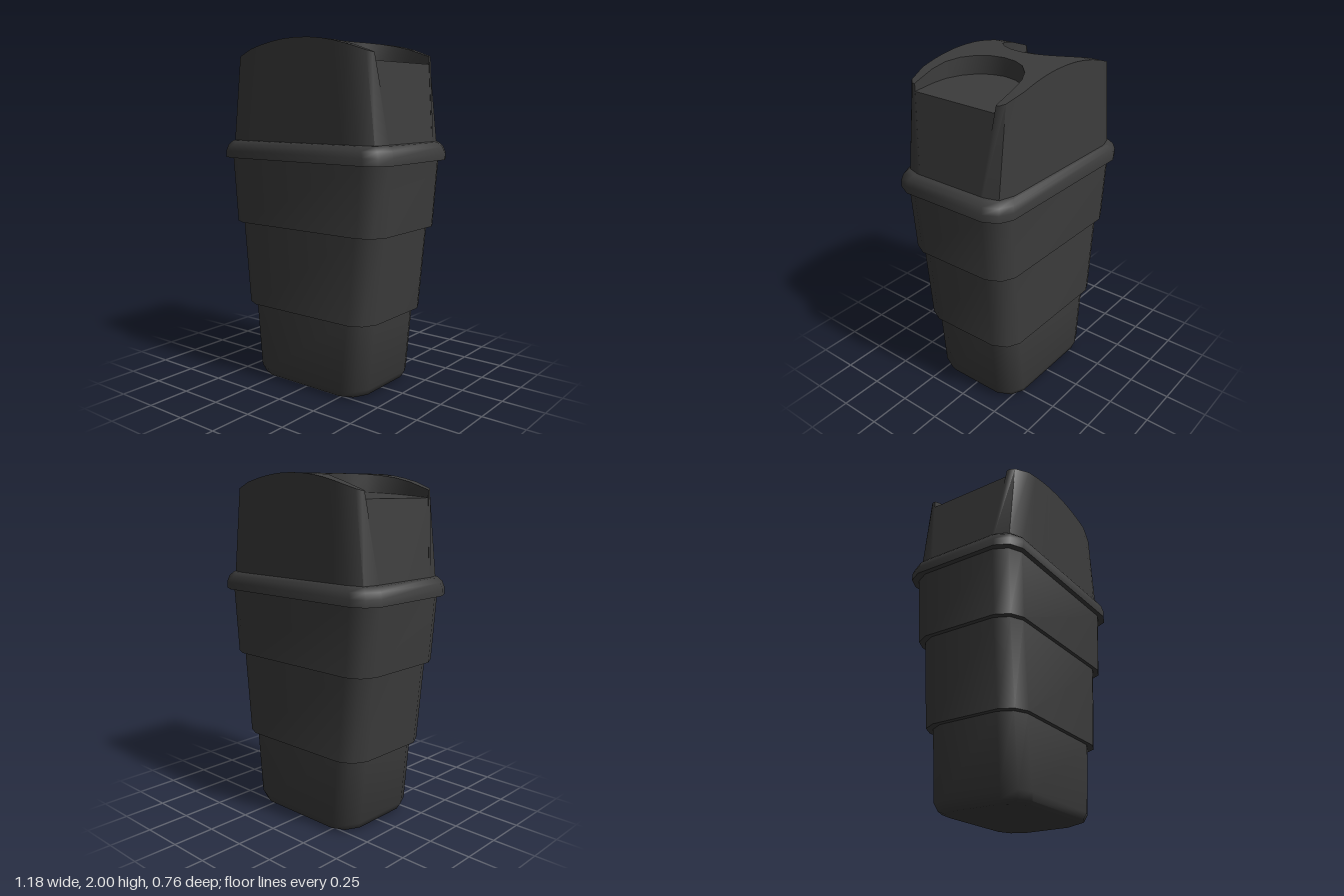
import * as THREE from 'three';
import { toCreasedNormals } from 'three/addons/utils/BufferGeometryUtils.js';

const material = new THREE.MeshStandardMaterial({ color: 0x3c3c3c, side: THREE.DoubleSide });
const V = (x, y, z) => new THREE.Vector3(x, y, z);

// Adds quads between neighbouring rows of points, leaving out empty triangles
function addStrips(out, rows, closed = false) {
  for (let r = 0; r < rows.length - 1; r++) {
    const low = rows[r], high = rows[r + 1], n = low.length;
    for (let i = 0; i < (closed ? n : n - 1); i++) {
      const j = (i + 1) % n;
      for (const tri of [[low[i], low[j], high[j]], [low[i], high[j], high[i]]]) {
        if (new THREE.Triangle(...tri).getArea() > 1e-7) out.push(...tri);
      }
    }
  }
}

function makeMesh(name, points) {
  const geometry = new THREE.BufferGeometry().setFromPoints(points);
  const mesh = new THREE.Mesh(toCreasedNormals(geometry, 0.8), material);
  mesh.name = name;
  return mesh;
}

// Rectangle with faceted corners, at height y
function ring(hx, hz, y) {
  const c = Math.min(0.115, hx, hz);
  const corner = [[hx - c, hz], [hx - 0.35 * c, hz - 0.31 * c], [hx, hz - c]];
  const back = [...corner].reverse();
  return [
    ...corner.map(([x, z]) => V(x, y, z)),
    ...back.map(([x, z]) => V(x, y, -z)),
    ...corner.map(([x, z]) => V(-x, y, -z)),
    ...back.map(([x, z]) => V(-x, y, z)),
  ];
}

function tier(name, profile) {
  const points = [];
  addStrips(points, profile.map((p) => ring(...p)), true);
  return makeMesh(name, points);
}

// Repeats the rows of one quarter in all four quarters, keeping faces outward
function quarters(name, rows) {
  const points = [];
  for (const sx of [1, -1]) {
    for (const sz of [1, -1]) {
      const mirrored = rows.map((row) => row.map((p) => V(p.x * sx, p.y, p.z * sz)));
      addStrips(points, sx * sz > 0 ? mirrored : mirrored.reverse());
    }
  }
  return makeMesh(name, points);
}

function createLid() {
  const lid = new THREE.Group();
  lid.name = 'lid';
  const baseY = 1.43, notchR = 0.268, notchX = 0.34, endX = 0.472;
  const arch = (x) => 2 - 0.42 * x * x;
  const floorY = (x) => 1.865 + (endX - x) * 0.08;
  const notchZ = (x) => {
    if (x >= notchX) return notchR;
    const d = (notchX - x) / notchR;
    return d >= 1 ? 0 : notchR * Math.sqrt(1 - d * d);
  };

  // Stations from the middle to the end: x, outer z, then x and z at the base
  const stations = [0, notchX - notchR, 0.085, 0.12, 0.18, 0.255, notchX]
    .map((x) => [x, 0.335, x * 1.235, 0.34]);
  stations.push([0.45, 0.31, 0.507, 0.31], [endX, 0.285, 0.535, 0.225]);

  const outer = stations.map(([x, z]) => V(x, arch(x), z));
  const inner = stations.map(([x]) => V(x, arch(x), notchZ(x)));
  const base = stations.map(([, , x, z]) => V(x, baseY, z));

  // Sides, dropping to the open end of the recess
  const end = floorY(endX);
  lid.add(quarters('lidSides', [
    [...base, V(0.535, baseY, 0.21), V(0.535, baseY, 0.21), V(0.535, baseY, 0)],
    [...outer, V(endX, arch(endX), notchR), V(endX, end, notchR), V(endX, end, 0)],
  ]));
  lid.add(quarters('lidTop', [outer, inner]));

  // Rounded recesses open to both ends
  const rim = inner.slice(1);
  const foot = rim.map((p) => V(p.x, floorY(p.x), p.z));
  lid.add(quarters('recessWalls', [rim, foot]));
  lid.add(quarters('recessFloors', [foot, foot.map((p) => V(p.x, p.y, 0))]));
  return lid;
}

export function createModel() {
  const bin = new THREE.Group();
  bin.name = 'wasteBin';

  // Stepped body, each tier overhanging the one below: half width, half depth, y
  bin.add(tier('lowerBody', [
    [0, 0, 0], [0.345, 0.255, 0], [0.375, 0.285, 0.015], [0.395, 0.298, 0.055], [0.43, 0.298, 0.45],
  ]));
  bin.add(tier('middleBody', [[0.43, 0.298, 0.45], [0.46, 0.323, 0.45], [0.505, 0.323, 0.945]]));
  bin.add(tier('upperBody', [[0.505, 0.323, 0.945], [0.533, 0.345, 0.945], [0.56, 0.35, 1.33]]));

  // Rounded rim around the foot of the lid
  bin.add(tier('rim', [
    [0.56, 0.35, 1.33], [0.59, 0.378, 1.33], [0.59, 0.378, 1.37],
    [0.578, 0.37, 1.405], [0.555, 0.352, 1.43], [0.525, 0.33, 1.435],
  ]));

  bin.add(createLid());
  return bin;
}
